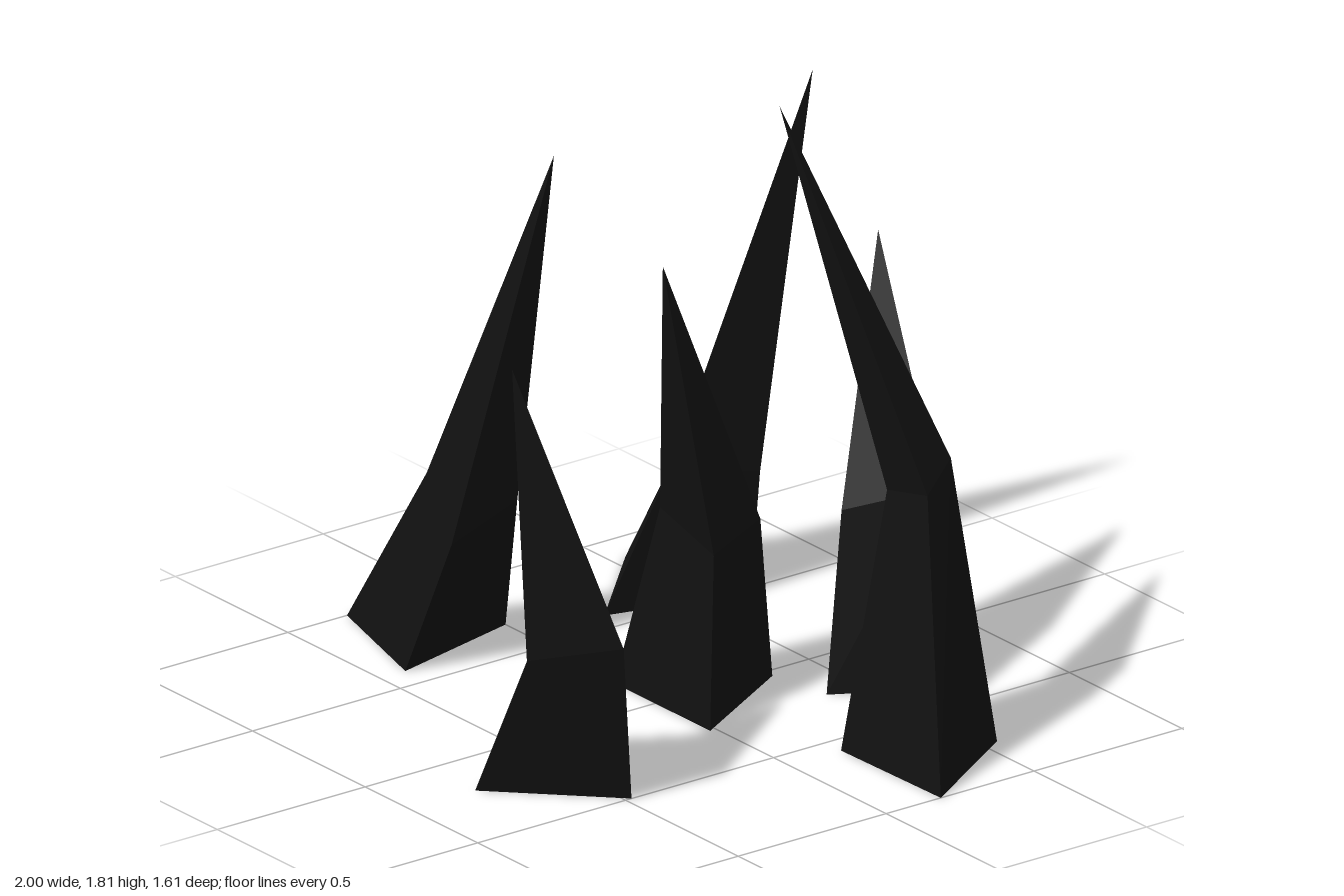
import * as THREE from 'three';

// Each spike: triangular base ring [x, z], waist ring [x, y, z], and a tip.
// Rings run counter-clockwise seen from above.
const SPIKES = [
  { name: 'backLeftSpike',
    base: [[-0.88, -0.55], [-0.58, -0.25], [-0.47, -0.66]],
    waist: [[-0.68, 0.42, -0.61], [-0.5, 0.41, -0.41], [-0.44, 0.36, -0.67]],
    tip: [-0.39, 1.51, -0.81] },
  { name: 'backMiddleSpike',
    base: [[0.015, -0.752], [0.23, -0.385], [0.44, -0.755]],
    waist: [[0.035, 0.45, -0.72], [0.165, 0.49, -0.485], [0.295, 0.54, -0.71]],
    tip: [-0.06, 1.16, -0.78] },
  { name: 'tallRightSpike',
    base: [[0.57, -0.175], [1, -0.185], [0.77, -0.55]],
    waist: [[0.61, 0.74, -0.3], [0.79, 0.78, -0.3], [0.69, 0.82, -0.455]],
    tip: [0.35, 1.81, -0.135] },
  { name: 'frontLeftSpike',
    base: [[-1, 0.3], [-0.59, 0.415], [-0.69, 0]],
    waist: [[-0.685, 0.51, 0.27], [-0.45, 0.4, 0.365], [-0.5, 0.45, 0.105]],
    tip: [-0.265, 1.54, 0.16] },
  { name: 'centreSpike',
    base: [[-0.18, 0.02], [0.245, 0.02], [0.035, -0.35]],
    waist: [[-0.03, 0.55, -0.02], [0.215, 0.49, -0.015], [0.1, 0.5, -0.26]],
    tip: [0.12, 1.325, 0.085] },
  { name: 'frontSpike',
    base: [[0.085, 0.37], [0.2, 0.78], [0.5, 0.48]],
    waist: [[0.32, 0.54, 0.515], [0.39, 0.43, 0.75], [0.577, 0.48, 0.565]],
    tip: [0.39, 1.29, 0.8] },
];

// Faceted shard: base cap, lower band of quads, upper pyramid
function spikeGeometry({ base, waist, tip }) {
  const b = base.map(([x, z]) => [x, 0, z]);
  const tris = [b[0], b[2], b[1]];
  for (let i = 0; i < 3; i++) {
    const j = (i + 1) % 3;
    tris.push(b[i], b[j], waist[j]);
    tris.push(b[i], waist[j], waist[i]);
    tris.push(waist[i], waist[j], tip);
  }
  const geo = new THREE.BufferGeometry();
  geo.setAttribute('position', new THREE.Float32BufferAttribute(tris.flat(), 3));
  geo.computeVertexNormals();
  return geo;
}

export function createModel() {
  const group = new THREE.Group();
  group.name = 'spikeCluster';
  const material = new THREE.MeshStandardMaterial({ color: 0x111111, flatShading: true });
  for (const spike of SPIKES) {
    const mesh = new THREE.Mesh(spikeGeometry(spike), material);
    mesh.name = spike.name;
    group.add(mesh);
  }
  return group;
}
